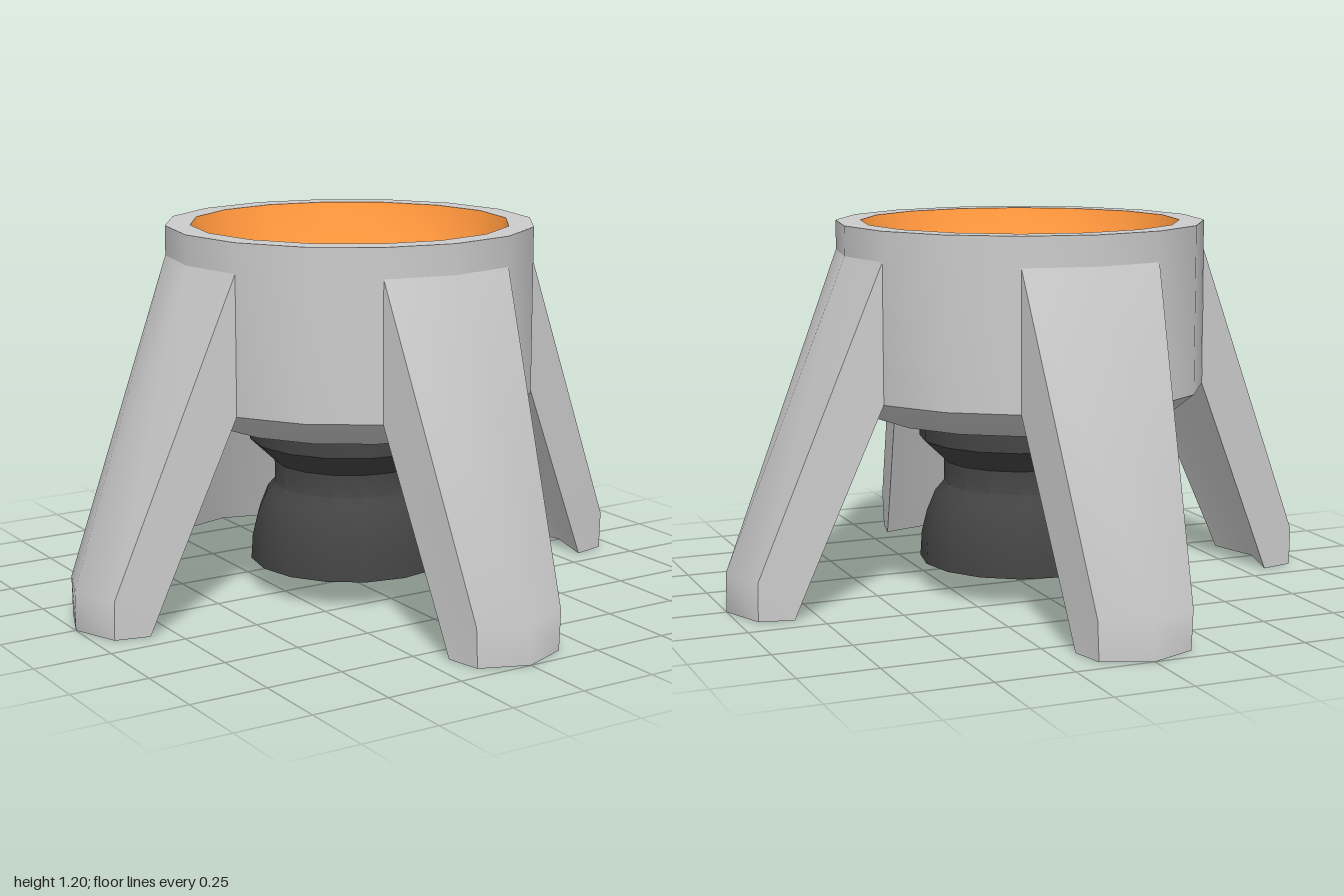
import * as THREE from 'three';
import { toCreasedNormals } from 'three/addons/utils/BufferGeometryUtils.js';

const SIDES = 16;
const material = (color) => new THREE.MeshStandardMaterial({ color });

// Sixteen-sided turned part from [radius, height] pairs, with sharp edges kept
function turned(name, profile, mat, crease) {
  const points = profile.map(([r, y]) => new THREE.Vector2(r, y));
  const geometry = toCreasedNormals(new THREE.LatheGeometry(points, SIDES), crease);
  const mesh = new THREE.Mesh(geometry, mat);
  mesh.name = name;
  return mesh;
}

// Leg pointing along +z: six-point chevron sections from foot to body wall
function legGeometry() {
  // [half width, side reach, centre reach, height] of the outer and inner faces
  const sections = [
    { outer: [0.15, 0.94, 1.0, 0], inner: [0.175, 0.83, 0.88, 0] },
    { outer: [0.155, 0.94, 1.0, 0.125], inner: [0.184, 0.78, 0.828, 0.12] },
    { outer: [0.228, 0.55, 0.595, 1.105], inner: [0.228, 0.55, 0.595, 0.665] },
  ];
  const rings = sections.map(({ outer: [ow, os, oc, oy], inner: [iw, is, ic, iy] }) => [
    [ow, oy, os], [0, oy, oc], [-ow, oy, os],
    [-iw, iy, is], [0, iy, ic], [iw, iy, is],
  ]);
  const positions = [];
  const quad = (a, b, c, d) => positions.push(...a, ...b, ...c, ...a, ...c, ...d);
  for (let i = 0; i < rings.length - 1; i++) {
    for (let k = 0; k < 6; k++) {
      const n = (k + 1) % 6;
      quad(rings[i][k], rings[i + 1][k], rings[i + 1][n], rings[i][n]);
    }
  }
  // Sole of the foot
  const f = rings[0];
  quad(f[0], f[1], f[4], f[5]);
  quad(f[1], f[2], f[3], f[4]);
  const geometry = new THREE.BufferGeometry();
  geometry.setAttribute('position', new THREE.Float32BufferAttribute(positions, 3));
  return toCreasedNormals(geometry, 0.87);
}

export function createModel() {
  const model = new THREE.Group();
  model.name = 'landingPod';
  const grey = material(0xcccccc);

  // Drum with a chamfered underside and flat rim
  model.add(turned('body', [
    [0, 0.58], [0.49, 0.58], [0.595, 0.665], [0.595, 1.2], [0.515, 1.2],
  ], grey, 0.8));

  // Concave dish inside the rim
  const bowl = [];
  const steps = 8;
  for (let i = 0; i <= steps; i++) {
    const a = THREE.MathUtils.lerp(0.3, Math.PI / 2, i / steps);
    const r = i === steps ? 0 : 0.515 * Math.cos(a) / Math.cos(0.3);
    bowl.push([r, 1.2 - 0.36 * (Math.sin(a) - Math.sin(0.3)) / (1 - Math.sin(0.3))]);
  }
  model.add(turned('bowl', bowl, material(0xff963c), 0.8));

  // Hollow engine bell, neck and collar
  model.add(turned('nozzle', [
    [0, 0.27], [0.24, 0.27], [0.285, 0.18], [0.295, 0.09], [0.33, 0.09],
    [0.325, 0.17], [0.308, 0.24], [0.28, 0.31], [0.25, 0.345],
    [0.25, 0.42], [0.33, 0.495], [0.33, 0.585],
  ], material(0x444444), 0.7));

  // Four splayed legs
  const leg = legGeometry();
  ['frontLeg', 'leftLeg', 'backLeg', 'rightLeg'].forEach((name, i) => {
    const mesh = new THREE.Mesh(leg, grey);
    mesh.name = name;
    mesh.rotation.y = i * Math.PI / 2;
    model.add(mesh);
  });
  return model;
}
